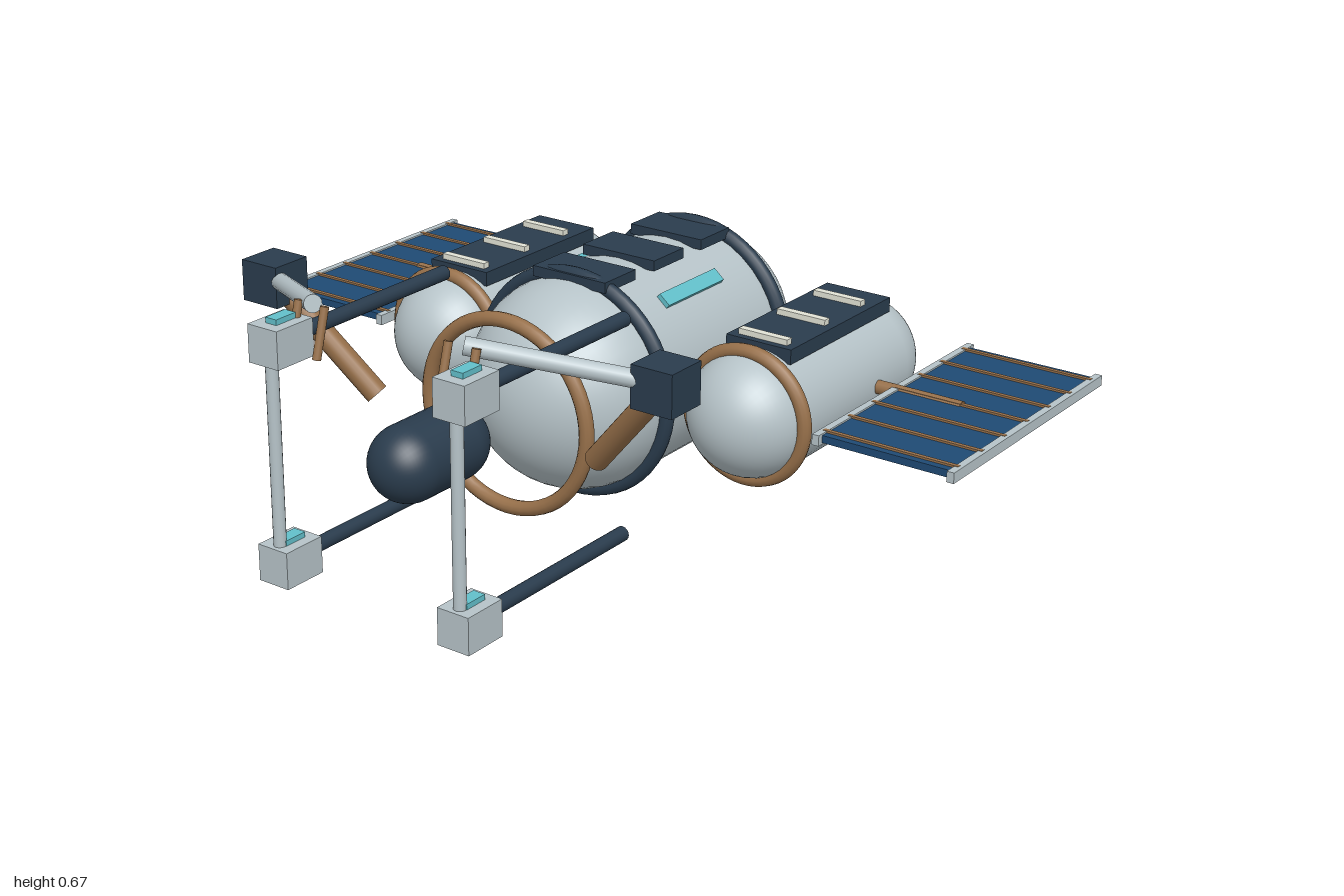
import * as THREE from 'three';

const mat = (color) => new THREE.MeshStandardMaterial({ color });
const HULL = mat(0xb6c3c8), DARK = mat(0x2a3c4d), BROWN = mat(0x97704a);
const BLUE = mat(0x1f4a74), CYAN = mat(0x62bfca), PALE = mat(0xe2e3d6);
const Y = 0.31; // height of the main axis

function add(parent, name, geometry, material, x = 0, y = 0, z = 0) {
  const mesh = new THREE.Mesh(geometry, material);
  mesh.name = name;
  mesh.position.set(x, y, z);
  parent.add(mesh);
  return mesh;
}

const box = (parent, name, material, size, pos) =>
  add(parent, name, new THREE.BoxGeometry(...size), material, ...pos);

// Capsule lying along z between two end points
function capsule(parent, name, material, r, x, z0, z1) {
  const g = new THREE.CapsuleGeometry(r, z1 - z0 - 2 * r, 16, 40).rotateX(Math.PI / 2);
  return add(parent, name, g, material, x, Y, (z0 + z1) / 2);
}

// Ring around the z axis
const ring = (parent, name, material, r, tube, x, z) =>
  add(parent, name, new THREE.TorusGeometry(r, tube, 12, 56), material, x, Y, z);

// Round rod from a to b
function rod(parent, name, material, r, a, b) {
  const from = new THREE.Vector3(...a), dir = new THREE.Vector3(...b).sub(from);
  const mesh = add(parent, name, new THREE.CylinderGeometry(r, r, dir.length(), 16), material);
  mesh.position.copy(from).addScaledVector(dir, 0.5);
  mesh.quaternion.setFromUnitVectors(new THREE.Vector3(0, 1, 0), dir.normalize());
  return mesh;
}

function buildSidePod(s) {
  const g = new THREE.Group();
  g.name = 'sidePod';
  const x = s * 0.443;
  capsule(g, 'podHull', HULL, 0.154, x, -0.703, 0.05);
  ring(g, 'podRing', BROWN, 0.156, 0.018, x, -0.078);
  box(g, 'podPanel', DARK, [0.176, 0.036, 0.443], [x, 0.459, -0.342]);
  for (const z of [-0.473, -0.311, -0.148])
    box(g, 'podLight', PALE, [0.132, 0.022, 0.02], [x, 0.48, z]);
  // Coupling to the main hull
  rod(g, 'coupling', DARK, 0.048, [s * 0.235, Y, -0.217], [s * 0.305, Y, -0.217]);
  return g;
}

function buildSolarWing(s) {
  const g = new THREE.Group();
  g.name = 'solarWing';
  box(g, 'solarPanel', BLUE, [0.345, 0.018, 0.69], [s * 0.819, Y, -0.407]);
  for (const x of [0.648, 0.991])
    box(g, 'wingRail', HULL, [0.018, 0.026, 0.72], [s * x, Y, -0.407]);
  for (let i = 0; i < 7; i++)
    box(g, 'wingSlat', BROWN, [0.345, 0.008, 0.011], [s * 0.819, Y + 0.01, -0.728 + i * 0.107]);
  rod(g, 'wingArm', BROWN, 0.017, [s * 0.57, Y, -0.412], [s * 0.82, Y, -0.412]);
  return g;
}

function buildDockingFrame(s) {
  const g = new THREE.Group();
  g.name = 'dockingFrame';
  const x = s * 0.261;
  for (const y of [0.045, 0.573]) {
    rod(g, 'frameRail', DARK, 0.018, [x, y, 0.152], [x, y, 0.68]);
    box(g, 'frameCorner', HULL, [0.086, 0.09, 0.115], [x, y, 0.71]);
    box(g, 'frameLamp', CYAN, [0.032, 0.016, 0.062], [x, y + 0.05, 0.708]);
  }
  rod(g, 'framePost', HULL, 0.015, [x, 0.06, 0.742], [x, 0.56, 0.742]);
  return g;
}

function buildArm(s) {
  const g = new THREE.Group();
  g.name = 'robotArm';
  const elbow = [s * 0.557, 0.57, 0.414];
  rod(g, 'upperArm', BROWN, 0.028, [s * 0.32, 0.31, 0.335], elbow);
  box(g, 'elbow', DARK, [0.106, 0.1, 0.106], elbow);
  rod(g, 'forearm', HULL, 0.021, elbow, [s * 0.212, 0.652, 0.656]);
  // Gripper fingers
  for (const x of [0.174, 0.25])
    rod(g, 'finger', BROWN, 0.01, [s * x, 0.655, 0.66], [s * x, 0.54, 0.692]);
  return g;
}

export function createModel() {
  const root = new THREE.Group();
  root.name = 'spaceStation';

  // Main hull with its rings and roof plates
  capsule(root, 'mainHull', HULL, 0.262, 0, -0.732, 0.238);
  for (const z of [-0.01, -0.506]) ring(root, 'hullRing', DARK, 0.269, 0.0185, 0, z);
  ring(root, 'frontRing', BROWN, 0.23, 0.018, 0, 0.25);
  for (const z of [-0.048, -0.245, -0.442])
    box(root, 'roofPlate', DARK, [0.21, 0.026, 0.122], [0, 0.572, z]);

  // Free-standing probe at the front
  capsule(root, 'probe', DARK, 0.091, 0, 0.363, 0.69);

  for (const s of [-1, 1]) {
    const strip = box(root, 'windowStrip', CYAN, [0.036, 0.022, 0.23], [s * 0.168, 0.511, -0.243]);
    strip.rotation.z = -s * 0.7;
    root.add(buildSidePod(s), buildSolarWing(s), buildDockingFrame(s), buildArm(s));
  }
  return root;
}
